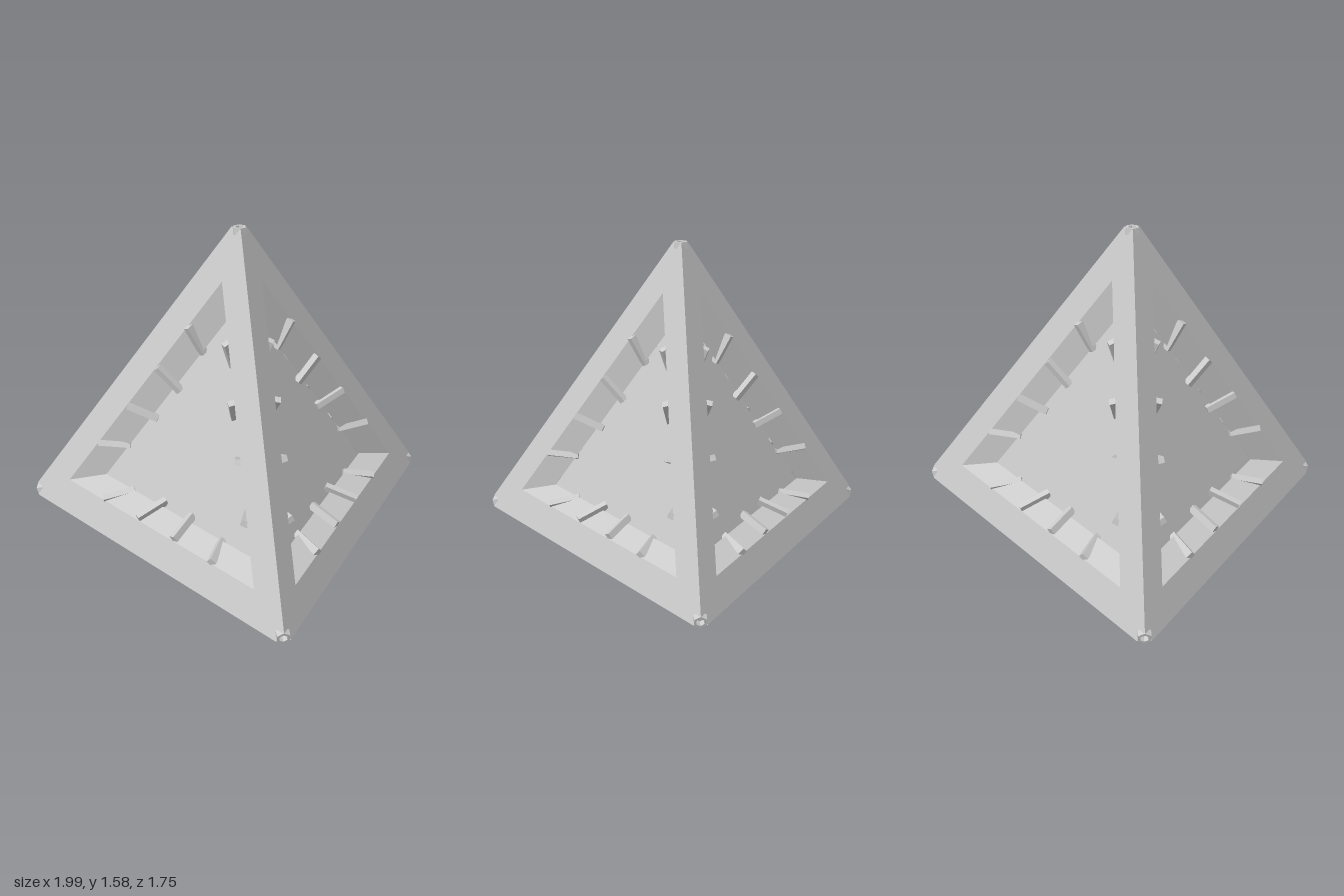
import * as THREE from 'three';

const material = new THREE.MeshStandardMaterial({
  color: 0xcccccc, flatShading: true, side: THREE.DoubleSide,
});

// Corners of the full pyramid before its tips are cut
const apex = new THREE.Vector3(0, 1.63, 0.28);
const left = new THREE.Vector3(1.02, 0.013, 0.87);
const right = new THREE.Vector3(-1.02, 0.013, 0.87);
const back = new THREE.Vector3(0, 0.013, -0.92);

const TIP_CUT = 0.034;    // share of each edge removed at a tip
const HOLE = 0.722;       // opening size relative to the face
const WALL_FOOT = 0.565;  // size of the opening at the foot of the walls
const PANEL = 0.6;
const WALL_DEPTH = 0.093;
const PANEL_DEPTH = 0.112;

function mesh(name, geometry) {
  const m = new THREE.Mesh(geometry, material);
  m.name = name;
  return m;
}

// Sloping walls between two triangles at different depths
function wallGeometry(outer, inner, depth) {
  const positions = [];
  for (let i = 0; i < 3; i++) {
    const j = (i + 1) % 3;
    const a = [outer[i].x, outer[i].y, 0], b = [outer[j].x, outer[j].y, 0];
    const c = [inner[j].x, inner[j].y, -depth], d = [inner[i].x, inner[i].y, -depth];
    positions.push(...a, ...b, ...c, ...a, ...c, ...d);
  }
  const g = new THREE.BufferGeometry();
  g.setAttribute('position', new THREE.Float32BufferAttribute(positions, 3));
  g.computeVertexNormals();
  return g;
}

// Small bar lying on a wall, pointing at the middle of the face
function makeBar(p) {
  const inward = p.clone().negate().normalize();
  const start = new THREE.Vector3(p.x, p.y, 0.006).addScaledVector(inward, 0.012);
  const end = new THREE.Vector3(p.x, p.y, -0.108).addScaledVector(inward, 0.128);
  const along = end.clone().sub(start);
  const length = along.length();
  along.normalize();
  const side = new THREE.Vector3(0, 0, 1).cross(along).normalize();
  const up = along.clone().cross(side);
  const bar = mesh('bar', new THREE.BoxGeometry(0.03, 0.036, length));
  bar.quaternion.setFromRotationMatrix(new THREE.Matrix4().makeBasis(side, up, along));
  bar.position.copy(start).add(end).multiplyScalar(0.5);
  return bar;
}

// One face, corners counter-clockwise from outside, built flat then placed
function makeFace(name, a, b, c, withBars) {
  const group = new THREE.Group();
  group.name = name;
  const centre = a.clone().add(b).add(c).divideScalar(3);
  const x = b.clone().sub(a).normalize();
  const z = x.clone().cross(c.clone().sub(a)).normalize();
  const y = z.clone().cross(x);
  group.position.copy(centre);
  group.quaternion.setFromRotationMatrix(new THREE.Matrix4().makeBasis(x, y, z));

  const corners = [a, b, c].map((v) => {
    const d = v.clone().sub(centre);
    return new THREE.Vector3(d.dot(x), d.dot(y), 0);
  });
  const scaled = (k) => corners.map((v) => v.clone().multiplyScalar(k));
  const hole = scaled(HOLE);

  // Frame with cut tips and a triangular opening
  const outline = [];
  corners.forEach((v, i) => {
    outline.push(v.clone().lerp(corners[(i + 2) % 3], TIP_CUT));
    outline.push(v.clone().lerp(corners[(i + 1) % 3], TIP_CUT));
  });
  const shape = new THREE.Shape(outline);
  shape.holes.push(new THREE.Path(hole));
  group.add(mesh('frame', new THREE.ShapeGeometry(shape)));

  group.add(mesh('recessWalls', wallGeometry(hole, scaled(WALL_FOOT), WALL_DEPTH)));

  const panel = mesh('panel', new THREE.ShapeGeometry(new THREE.Shape(scaled(PANEL))));
  panel.position.z = -PANEL_DEPTH;
  group.add(panel);

  if (withBars) {
    for (let i = 0; i < 3; i++) {
      for (const s of [0.2, 0.4, 0.6, 0.8]) {
        group.add(makeBar(hole[i].clone().lerp(hole[(i + 1) % 3], s)));
      }
    }
  }
  return group;
}

// Hollow six-sided end piece on a cut tip
function makeTip(corner, others) {
  const profile = [[0, -0.025], [0.019, -0.025], [0.021, 0.004], [0.034, 0.004], [0.036, -0.03]]
    .map(([r, h]) => new THREE.Vector2(r, h));
  const tip = mesh('tip', new THREE.LatheGeometry(profile, 6));
  const base = others.reduce((s, v) => s.add(v), new THREE.Vector3()).divideScalar(3);
  tip.position.copy(corner).lerp(base, TIP_CUT);
  // Local y points outward, local z toward the first neighbour
  const yAxis = corner.clone().sub(base).normalize();
  const xAxis = yAxis.clone().cross(others[0].clone().sub(corner)).normalize();
  const zAxis = xAxis.clone().cross(yAxis);
  tip.quaternion.setFromRotationMatrix(new THREE.Matrix4().makeBasis(xAxis, yAxis, zAxis));
  return tip;
}

export function createModel() {
  const model = new THREE.Group();
  model.name = 'framedPyramid';
  model.add(
    makeFace('frontFace', right, left, apex, true),
    makeFace('leftFace', left, back, apex, true),
    makeFace('rightFace', back, right, apex, true),
    makeFace('bottomFace', left, right, back, false),
  );
  const all = [apex, left, right, back];
  for (const v of all) model.add(makeTip(v, all.filter((o) => o !== v)));
  return model;
}
